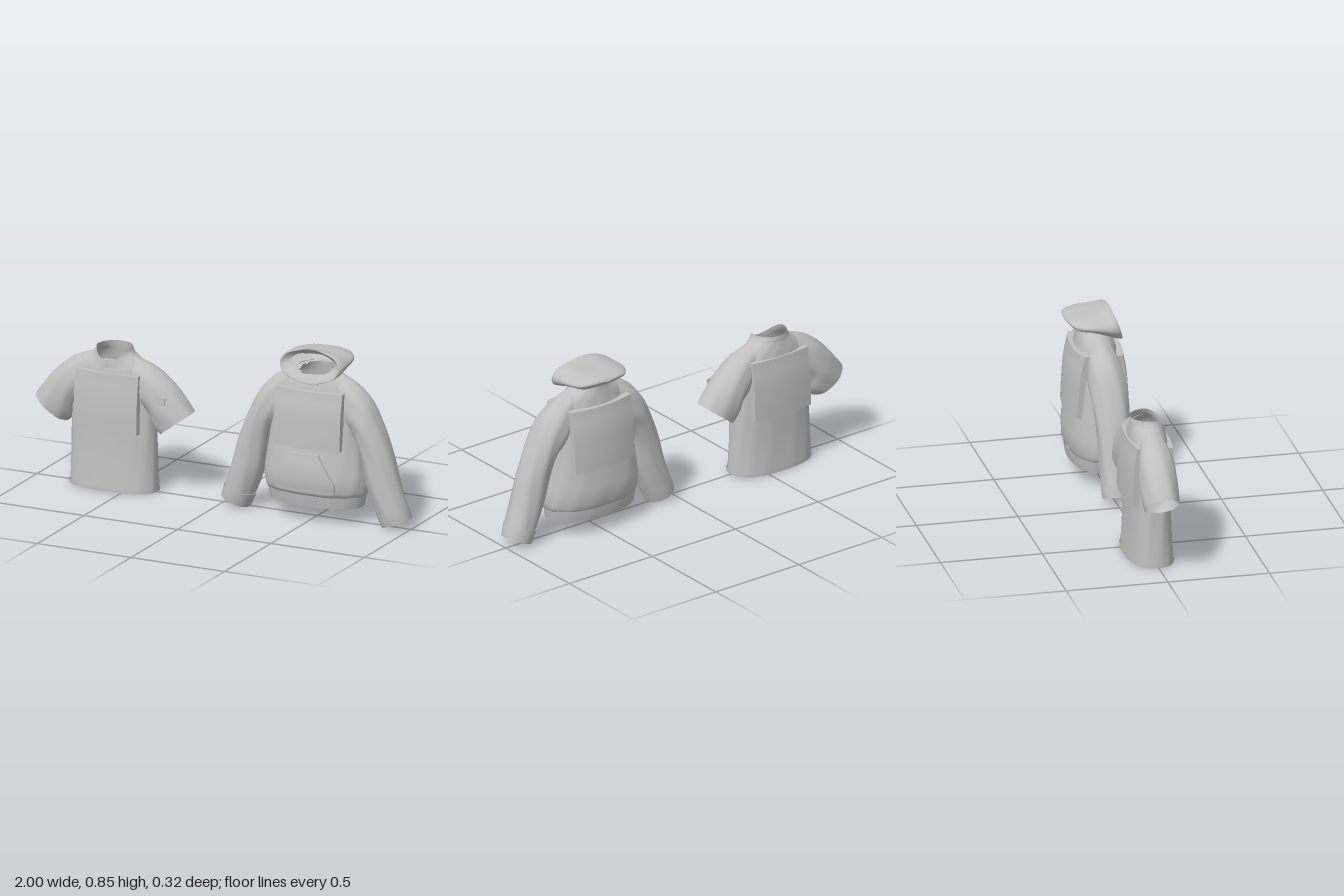
import * as THREE from 'three';

const fabric = new THREE.MeshStandardMaterial({ color: 0xc0c0c0, side: THREE.DoubleSide });
fabric.name = 'grey fabric';
const AROUND = 56;

// Smoothly resample rows of numbers, each column on its own spline
function dense(rows, steps = 5) {
  const out = [], at = (i) => rows[Math.max(0, Math.min(rows.length - 1, i))];
  for (let i = 0; i < rows.length - 1; i++) {
    for (let s = 0; s < steps; s++) {
      const t = s / steps;
      out.push(at(i).map((b, k) => {
        const a = at(i - 1)[k], c = at(i + 1)[k], d = at(i + 2)[k];
        return b + 0.5 * t * (c - a + t * (2 * a - 5 * b + 4 * c - d + t * (3 * (b - c) + d - a)));
      }));
    }
  }
  out.push(rows[rows.length - 1]);
  return out;
}

// Open skin through closed rings; keep() may drop faces
function loft(rings, keep = () => true) {
  const pos = [], index = [], n = rings[0].length;
  rings.forEach((r) => r.forEach((p) => pos.push(...p)));
  for (let i = 0; i < rings.length - 1; i++) {
    for (let j = 0; j < n; j++) {
      const k = (j + 1) % n;
      if (!keep(rings[i][j], rings[i + 1][k])) continue;
      const a = i * n + j, b = i * n + k, c = a + n, d = b + n;
      index.push(a, c, b, b, c, d);
    }
  }
  const g = new THREE.BufferGeometry();
  g.setAttribute('position', new THREE.Float32BufferAttribute(pos, 3));
  g.setIndex(index);
  g.computeVertexNormals();
  return g;
}

function add(parent, name, geometry) {
  const mesh = new THREE.Mesh(geometry, fabric);
  mesh.name = name;
  parent.add(mesh);
  return mesh;
}

const power = (v, e) => Math.sign(v) * Math.abs(v) ** e;
const angles = Array.from({ length: AROUND }, (_, j) => (j / AROUND) * Math.PI * 2);

// Torso rows: y, half width, front depth, back depth, drop at the front, squareness
function torso(rows, steps, fold = 0) {
  return loft(dense(rows, steps).map(([y, hx, zf, zb, dip, n], i) => angles.map((a) => {
    const c = power(Math.cos(a), 2 / n), s = power(Math.sin(a), 2 / n);
    const f = 1 + fold * Math.sin(a * 9 + i * 0.12) * Math.sin(a * 4 + i * 0.2);
    return [hx * c * f, y - dip * Math.max(0, s) ** 2, (s > 0 ? zf : zb) * s * f];
  })));
}

// Sleeve rows: outer x, y, inner x, y, half depth, centre z
function sleeve(rows, side, steps, fold = 0) {
  return loft(dense(rows, steps).map(([ox, oy, ix, iy, hd, zc], i) => angles.map((a) => {
    const f = 1 + fold * Math.sin(a * 7 + i * 0.25);
    const c = Math.cos(a) * f * 0.5, s = power(Math.sin(a), 0.9) * f;
    return [side * ((ox + ix) / 2 + (ox - ix) * c), (oy + iy) / 2 + (oy - iy) * c, zc + side * s * hd];
  })));
}

// Curved slab: depths run from bottom to top, bend pulls its sides back
function slab(y0, y1, halfWidths, depths, bend, thick) {
  const g = new THREE.BoxGeometry(2, 1, 1, 16, 16, 1);
  const ws = dense(halfWidths.map((w) => [w]), 4), ds = dense(depths.map((d) => [d]), 4);
  const sample = (l, t) => {
    const u = t * (l.length - 1), i = Math.min(l.length - 2, Math.floor(u));
    return l[i][0] + (l[i + 1][0] - l[i][0]) * (u - i);
  };
  const p = g.attributes.position;
  for (let i = 0; i < p.count; i++) {
    const t = p.getY(i) + 0.5, x = p.getX(i) * sample(ws, t);
    const z = sample(ds, t) - bend * x * x - (p.getZ(i) < 0 ? thick : 0);
    p.setXYZ(i, x, y0 + (y1 - y0) * t, z);
  }
  g.computeVertexNormals();
  return g;
}

function tShirt() {
  const g = new THREE.Group();
  g.name = 'tShirt';
  g.position.x = -0.585;
  add(g, 'shirtBody', torso([
    [0.004, 0.226, 0.108, 0.118, 0, 2.5], [0.15, 0.221, 0.098, 0.11, 0, 2.5],
    [0.3, 0.217, 0.093, 0.107, 0, 2.5], [0.42, 0.212, 0.091, 0.105, 0, 2.4],
    [0.52, 0.2, 0.088, 0.102, 0.005, 2.3], [0.58, 0.185, 0.085, 0.1, 0.01, 2.2],
    [0.62, 0.165, 0.082, 0.095, 0.02, 2.1], [0.65, 0.135, 0.08, 0.09, 0.035, 2],
    [0.675, 0.1, 0.08, 0.086, 0.045, 2], [0.7, 0.087, 0.08, 0.084, 0.055, 2],
  ], 5, 0.012));
  add(g, 'shirtHem', torso([
    [0.003, 0.229, 0.111, 0.121, 0, 2.5], [0.018, 0.229, 0.111, 0.121, 0, 2.5],
  ], 1));
  add(g, 'collarBand', torso([
    [0.676, 0.103, 0.084, 0.089, 0.045, 2], [0.69, 0.093, 0.083, 0.088, 0.05, 2],
    [0.703, 0.089, 0.082, 0.086, 0.055, 2],
  ], 3));
  for (const side of [1, -1]) {
    add(g, side > 0 ? 'leftShortSleeve' : 'rightShortSleeve', sleeve([
      [0.1, 0.668, 0.14, 0.43, 0.07, -0.005], [0.215, 0.622, 0.2, 0.385, 0.088, -0.008],
      [0.305, 0.552, 0.215, 0.34, 0.092, -0.01], [0.36, 0.49, 0.23, 0.315, 0.09, -0.01],
      [0.413, 0.42, 0.25, 0.295, 0.085, -0.01],
    ], side, 5, 0.015));
  }
  add(g, 'frontPanel', slab(0.3, 0.59, [0.168, 0.168], [0.118, 0.117, 0.11, 0.098], 0.5, 0.035));
  add(g, 'backPanel', slab(0.3, 0.6, [0.168, 0.168], [0.128, 0.126, 0.12, 0.105], 0.5, 0.035)).rotation.y = Math.PI;
  const patch = add(g, 'sleevePatch', new THREE.BoxGeometry(0.056, 0.036, 0.009));
  patch.position.set(0.28, 0.485, 0.083);
  patch.rotation.set(-0.1, 0.15, -0.12);
  return g;
}

function hoodie() {
  const g = new THREE.Group();
  g.name = 'hoodie';
  g.position.x = 0.5;
  add(g, 'hoodieBody', torso([
    [0.135, 0.25, 0.125, 0.135, 0, 2.3], [0.16, 0.262, 0.143, 0.146, 0, 2.3],
    [0.22, 0.265, 0.15, 0.154, 0, 2.3], [0.3, 0.255, 0.141, 0.149, 0, 2.3],
    [0.4, 0.242, 0.126, 0.139, 0, 2.3], [0.5, 0.232, 0.112, 0.129, 0, 2.3],
    [0.6, 0.215, 0.1, 0.114, 0, 2.2], [0.66, 0.19, 0.09, 0.104, 0.005, 2],
    [0.7, 0.162, 0.084, 0.097, 0.02, 2], [0.735, 0.115, 0.08, 0.092, 0.04, 2],
    [0.757, 0.092, 0.078, 0.09, 0.05, 2],
  ], 5, 0.012));
  add(g, 'ribbedHem', torso([
    [0.08, 0.24, 0.118, 0.133, 0, 2.3], [0.11, 0.246, 0.124, 0.139, 0, 2.3],
    [0.142, 0.252, 0.13, 0.143, 0, 2.3],
  ], 3, 0.006));
  for (const side of [1, -1]) {
    const word = side > 0 ? 'left' : 'right';
    add(g, word + 'LongSleeve', sleeve([
      [0.12, 0.735, 0.15, 0.47, 0.07, -0.005], [0.2, 0.695, 0.19, 0.44, 0.083, -0.003],
      [0.278, 0.625, 0.22, 0.42, 0.088, 0.002], [0.333, 0.53, 0.235, 0.39, 0.087, 0.007],
      [0.4, 0.37, 0.25, 0.33, 0.082, 0.01], [0.45, 0.2, 0.282, 0.2, 0.08, 0.012],
      [0.482, 0.108, 0.332, 0.07, 0.076, 0.01],
    ], side, 6, 0.02));
    add(g, word + 'Cuff', sleeve([
      [0.484, 0.112, 0.328, 0.068, 0.079, 0.01], [0.493, 0.08, 0.343, 0.035, 0.077, 0.009],
      [0.5, 0.053, 0.358, 0.002, 0.073, 0.008],
    ], side, 3));
  }
  add(g, 'frontPanel', slab(0.375, 0.655, [0.178, 0.178], [0.147, 0.143, 0.135, 0.118], 0.8, 0.035));
  add(g, 'backPanel', slab(0.345, 0.66, [0.178, 0.178], [0.156, 0.151, 0.142, 0.122], 0.8, 0.035)).rotation.y = Math.PI;
  add(g, 'pouchPocket', slab(0.16, 0.35, [0.152, 0.156, 0.128, 0.1, 0.073], [0.153, 0.16, 0.16, 0.155, 0.147], 0.75, 0.03));

  // Hood rows: top z, y, bottom z, y, half width; starts at the turned-in rim
  const hoodRings = dense([
    [0.03, 0.822, 0.085, 0.735, 0.12], [0.055, 0.84, 0.105, 0.71, 0.145],
    [0.065, 0.85, 0.11, 0.695, 0.155], [0.045, 0.848, 0.08, 0.705, 0.168],
    [0, 0.838, 0.02, 0.73, 0.17], [-0.06, 0.832, -0.05, 0.752, 0.166],
    [-0.115, 0.824, -0.1, 0.758, 0.14], [-0.145, 0.815, -0.14, 0.785, 0.1],
    [-0.155, 0.803, -0.155, 0.8, 0.02],
  ], 5).map(([tz, ty, bz, by, hw], i) => angles.map((a) => {
    const c = Math.cos(a) * 0.5 * (1 + 0.04 * Math.sin(a * 6 + i * 0.2)), x = power(Math.sin(a), 0.85);
    return [hw * x, (ty + by) / 2 + (ty - by) * c, (tz + bz) / 2 + (tz - bz) * c];
  }));
  // The floor of the hood stays open over the neck
  const overNeck = (p) => p[1] < 0.765 && (p[0] / 0.088) ** 2 + (p[2] / 0.078) ** 2 < 1;
  add(g, 'hood', loft(hoodRings, (p, q) => !(overNeck(p) && overNeck(q))));
  return g;
}

export function createModel() {
  const model = new THREE.Group();
  model.name = 'shirtAndHoodie';
  model.add(tShirt(), hoodie());
  return model;
}
